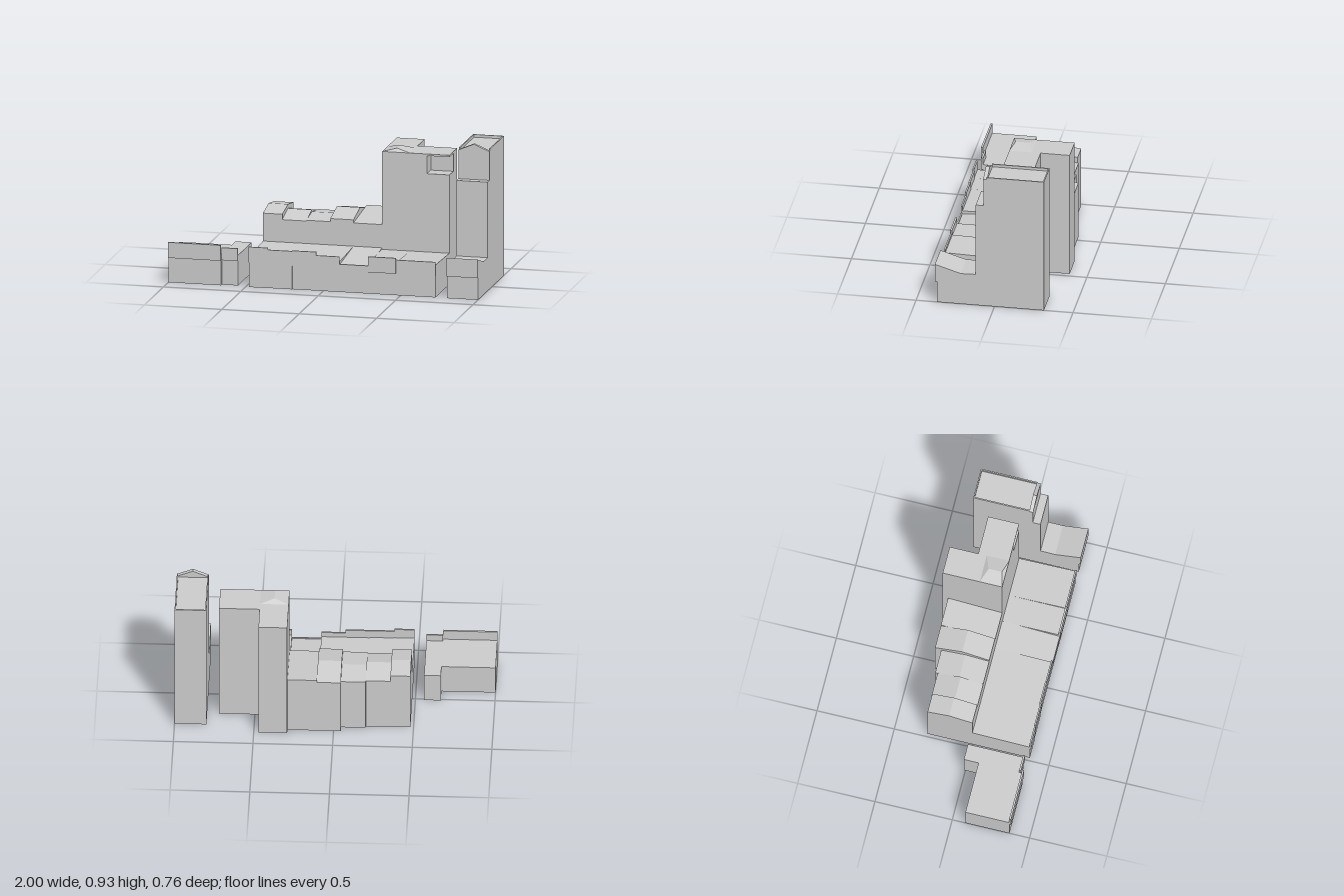
import * as THREE from 'three';

const material = new THREE.MeshStandardMaterial({ color: 0xcccccc, flatShading: true, side: THREE.DoubleSide });

// Drop the triangles that lie on the ground, leaving the shell open below
function openBottom(geometry) {
  const g = geometry.index ? geometry.toNonIndexed() : geometry;
  const p = g.attributes.position;
  const kept = [];
  for (let i = 0; i < p.count; i += 3) {
    if (Math.max(p.getY(i), p.getY(i + 1), p.getY(i + 2)) < 0.001) continue;
    for (let k = i; k < i + 3; k++) kept.push(p.getX(k), p.getY(k), p.getZ(k));
  }
  const out = new THREE.BufferGeometry();
  out.setAttribute('position', new THREE.Float32BufferAttribute(kept, 3));
  out.computeVertexNormals();
  return out;
}

function addMesh(parent, name, geometry) {
  const mesh = new THREE.Mesh(geometry, material);
  mesh.name = name;
  parent.add(mesh);
}

// Side profile of [z, y] points swept from x0 to x1
function prism(parent, name, x0, x1, profile) {
  const shape = new THREE.Shape(profile.map(([z, y]) => new THREE.Vector2(z, y)));
  const g = new THREE.ExtrudeGeometry(shape, { depth: x1 - x0, bevelEnabled: false });
  g.rotateY(-Math.PI / 2).translate(x1, 0, 0);
  addMesh(parent, name, openBottom(g));
}

function box(parent, name, x0, x1, y0, y1, z0, z1) {
  const g = new THREE.BoxGeometry(x1 - x0, y1 - y0, z1 - z0);
  addMesh(parent, name, g.translate((x0 + x1) / 2, (y0 + y1) / 2, (z0 + z1) / 2));
}

// Hipped roof: rectangular base with a ridge along z
function hipRoof(parent, name, x0, x1, z0, z1, r0, r1, y, top) {
  const m = (x0 + x1) / 2;
  const a = [x0, y, z0], b = [x1, y, z0], c = [x1, y, z1], d = [x0, y, z1];
  const e = [m, top, r0], f = [m, top, r1];
  const faces = [d, c, f, b, a, e, c, b, e, c, e, f, a, d, f, a, f, e];
  const g = new THREE.BufferGeometry();
  g.setAttribute('position', new THREE.Float32BufferAttribute(faces.flat(), 3));
  g.computeVertexNormals();
  addMesh(parent, name, g);
}

export function createModel() {
  const model = new THREE.Group();

  // Two low detached shops at the right-hand end
  prism(model, 'endShop', -1, -0.66, [[0.085, 0], [0.085, 0.195], [0.37, 0.195], [0.37, 0]]);
  box(model, 'endShopFascia', -1, -0.66, 0.16, 0.26, 0.368, 0.38);
  prism(model, 'narrowShop', -0.66, -0.555, [[-0.01, 0], [-0.01, 0.195], [0.35, 0.195], [0.35, 0]]);
  box(model, 'narrowShopFascia', -0.66, -0.555, 0.16, 0.24, 0.348, 0.36);

  // Terrace houses with a shop in front of each
  const houses = [
    { x0: -0.48, x1: -0.355, back: -0.29, ridge: -0.15, eaves: 0.39, rear: 0.4, top: 0.42, fascia: [0.16, 0.26], front: 0.38 },
    { x0: -0.355, x1: -0.2, back: -0.295, ridge: -0.145, eaves: 0.355, rear: 0.36, top: 0.395, fascia: [0.16, 0.247], front: 0.377 },
    { x0: -0.2, x1: -0.045, back: -0.31, ridge: -0.155, eaves: 0.36, rear: 0.36, top: 0.38, fascia: [0.15, 0.25], front: 0.373 },
    { x0: -0.045, x1: 0.105, back: -0.35, ridge: -0.175, eaves: 0.38, rear: 0.38, top: 0.42, fascia: [0.15, 0.228], front: 0.373 },
    { x0: 0.105, x1: 0.29, back: -0.35, ridge: -0.34, eaves: 0.36, rear: 0.395, top: 0.395, fascia: [0.13, 0.18], front: 0.373 },
  ];
  houses.forEach((h, i) => {
    const wall = h.front - 0.008;
    const shopRoof = Math.min(0.195, h.fascia[1] - 0.005);
    prism(model, `house${i + 1}`, h.x0, h.x1, [
      [h.back, 0], [h.back, h.rear], [h.ridge, h.top], [0, h.eaves],
      [0, 0.21], [wall, shopRoof], [wall, 0],
    ]);
    box(model, `shopFascia${i + 1}`, h.x0, h.x1, h.fascia[0], h.fascia[1], wall - 0.002, h.front);
  });

  // Tall block: deep wing, plain bay, and a bay with a recessed balcony
  const shop = (roof) => [[0, 0.2], [0.366, roof], [0.366, 0]];
  prism(model, 'towerWing', 0.29, 0.47, [[-0.385, 0], [-0.385, 0.832], [0, 0.832], ...shop(0.2)]);
  prism(model, 'towerBay', 0.47, 0.58, [[-0.2, 0], [-0.2, 0.832], [0, 0.832], ...shop(0.21)]);
  prism(model, 'balconyBay', 0.58, 0.725, [
    [-0.2, 0], [-0.2, 0.832], [0, 0.832], [0, 0.82], [-0.1, 0.82], [-0.1, 0.705], [0, 0.705], ...shop(0.21),
  ]);
  hipRoof(model, 'wingHipRoof', 0.29, 0.47, -0.145, 0, -0.11, -0.025, 0.832, 0.853);
  box(model, 'wingFascia', 0.29, 0.47, 0.14, 0.24, 0.364, 0.376);
  box(model, 'bayFascia', 0.47, 0.725, 0.14, 0.228, 0.362, 0.372);

  // Stepped tower at the left-hand end
  prism(model, 'endTower', 0.8, 1, [
    [-0.315, 0], [-0.315, 0.882], [0.07, 0.882], [0.07, 0.702], [0.12, 0.702],
    [0.12, 0.215], [0.215, 0.212], [0.38, 0.263], [0.38, 0.143], [0.368, 0.143], [0.368, 0],
  ]);
  // Thin rim around its roof
  box(model, 'rimBack', 0.8, 1, 0.88, 0.9, -0.315, -0.307);
  for (const x of [0.8, 0.992]) box(model, 'rimSide', x, x + 0.008, 0.88, 0.9, -0.307, 0.05);
  // Gabled parapet over its front
  const gable = new THREE.Shape([[0.8, 0.88], [1, 0.88], [1, 0.888], [0.9, 0.93], [0.8, 0.888]]
    .map(([x, y]) => new THREE.Vector2(x, y)));
  const gableGeometry = new THREE.ExtrudeGeometry(gable, { depth: 0.025, bevelEnabled: false });
  addMesh(model, 'gableParapet', gableGeometry.translate(0, 0, 0.047));

  return model;
}
